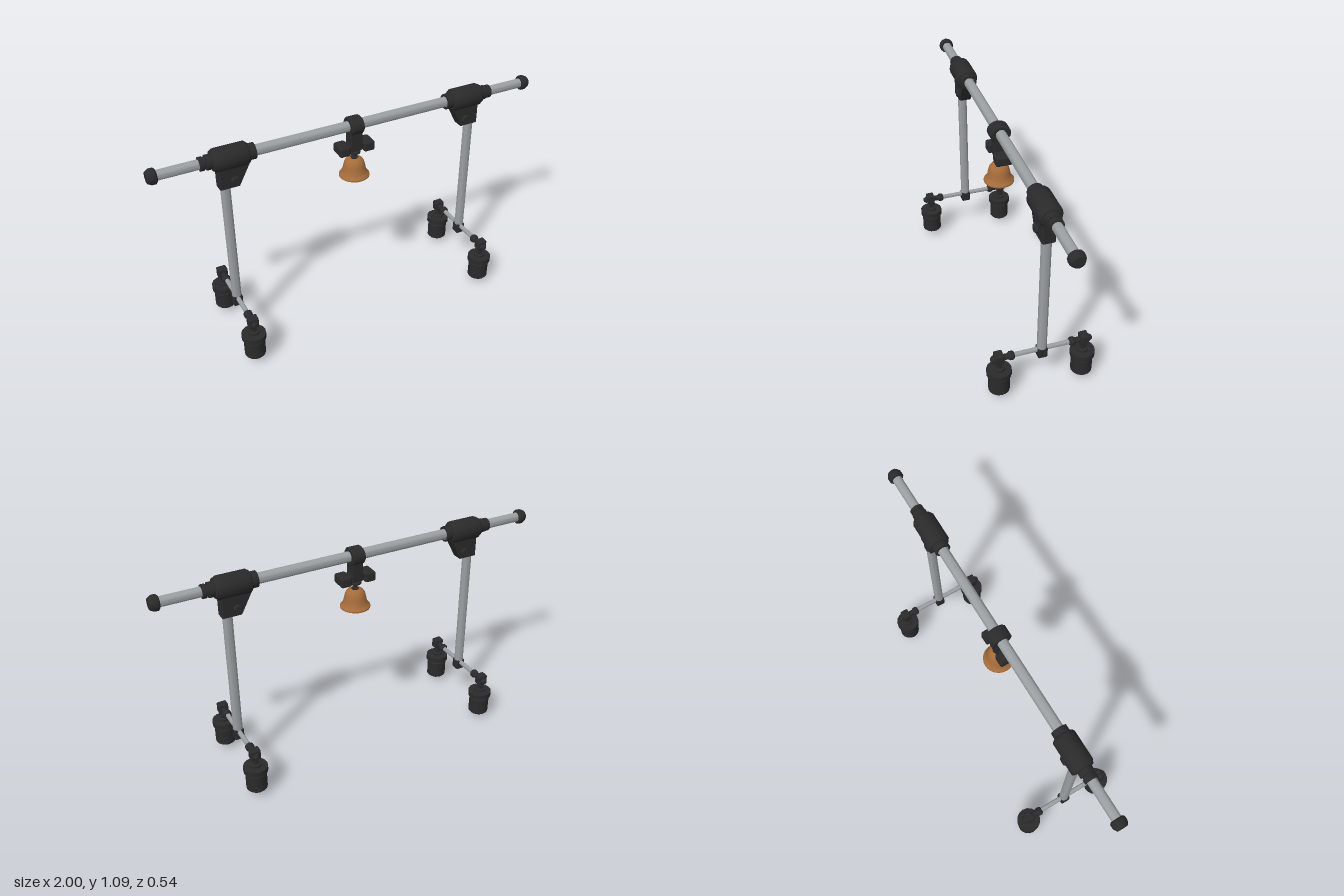
import * as THREE from 'three';
import { toCreasedNormals } from 'three/addons/utils/BufferGeometryUtils.js';
import { RoundedBoxGeometry } from 'three/addons/geometries/RoundedBoxGeometry.js';

const BEAM_Y = 1.035, LEG_X = 0.657, FOOT_Z = 0.209, BAR_Y = 0.237;

export function createModel() {
  const rubber = new THREE.MeshStandardMaterial({ name: 'black rubber', color: 0x2a2a2a });
  const metal = new THREE.MeshStandardMaterial({ name: 'grey metal', color: 0x9a9fa1 });
  const bronze = new THREE.MeshStandardMaterial({ name: 'bronze', color: 0xa56c3a, side: THREE.DoubleSide });

  const add = (parent, name, geometry, material, x = 0, y = 0, z = 0) => {
    const mesh = new THREE.Mesh(geometry, material);
    mesh.name = name;
    mesh.position.set(x, y, z);
    parent.add(mesh);
    return mesh;
  };
  const group = (parent, name) => {
    const g = new THREE.Group();
    g.name = name;
    parent.add(g);
    return g;
  };
  // Turned part: [radius, distance along axis] pairs in increasing distance
  const turned = (profile, axis = 'y', sides = 16) => {
    const g = new THREE.LatheGeometry(profile.map(([r, d]) => new THREE.Vector2(r, d)), sides);
    if (axis === 'x') g.rotateZ(-Math.PI / 2);
    if (axis === 'z') g.rotateX(Math.PI / 2);
    return toCreasedNormals(g, 0.6);
  };
  const rod = (r, from, to, axis, sides) => turned([[0, from], [r, from], [r, to], [0, to]], axis, sides);
  const block = (w, h, d, r = 0.006) => new RoundedBoxGeometry(w, h, d, 2, r);

  // One foot with its half of the crossbar, pointing to +z
  const buildFoot = (parent, name) => {
    const foot = group(parent, name);
    add(foot, 'crossbar', rod(0.012, 0, 0.145, 'z', 12), metal, 0, BAR_Y, 0);
    add(foot, 'crossbarCollar', turned([[0, 0.136], [0.016, 0.136], [0.022, 0.143], [0.022, 0.158],
      [0.015, 0.167], [0.015, 0.195], [0, 0.195]], 'z', 12), rubber, 0, BAR_Y, 0);
    add(foot, 'knuckle', block(0.05, 0.052, 0.042), rubber, 0, 0.24, FOOT_Z + 0.002);
    add(foot, 'knuckleNut', turned([[0, 0.225], [0.018, 0.225], [0.018, 0.238], [0.01, 0.25], [0, 0.25]], 'z', 8),
      rubber, 0, BAR_Y, 0);
    add(foot, 'footStem', rod(0.015, 0.165, 0.225, 'y', 12), rubber, 0, 0, FOOT_Z);
    add(foot, 'damper', turned([
      [0, 0], [0.008, 0.006], [0.017, 0.022], [0.017, 0.033], [0.046, 0.033], [0.052, 0.04],
      [0.052, 0.125], [0.046, 0.132], [0.046, 0.137], [0.06, 0.137], [0.06, 0.166],
      [0.028, 0.168], [0.028, 0.178], [0.015, 0.182], [0, 0.182],
    ]), rubber, 0, 0, FOOT_Z);
    return foot;
  };

  // One end of the stand, built on the +x side
  const buildEnd = (parent, name) => {
    const end = group(parent, name);
    add(end, 'beamExtension', rod(0.024, 0.6, 0.97, 'x'), metal, 0, BEAM_Y, 0);
    add(end, 'endCap', turned([[0, 0.955], [0.03, 0.955], [0.037, 0.962], [0.037, 0.982],
      [0.027, 1], [0, 1]], 'x', 12), rubber, 0, BEAM_Y, 0);

    // Corner clamp: sleeve, gusset and bolt
    add(end, 'clampSleeve', turned([
      [0.027, 0.505], [0.039, 0.505], [0.039, 0.535], [0.048, 0.538], [0.056, 0.55], [0.056, 0.69],
      [0.046, 0.708], [0.036, 0.71], [0.036, 0.735], [0.027, 0.737], [0.027, 0.745],
      [0.033, 0.746], [0.033, 0.765], [0.022, 0.767],
    ], 'x'), rubber, 0, BEAM_Y, 0);
    const gusset = new THREE.Shape([
      [0.54, BEAM_Y], [0.54, 0.992], [0.595, 0.888], [0.688, 0.888], [0.688, BEAM_Y],
    ].map(([x, y]) => new THREE.Vector2(x, y)));
    const gussetGeometry = new THREE.ExtrudeGeometry(gusset, {
      depth: 0.052, bevelEnabled: true, bevelThickness: 0.006, bevelSize: 0.004, bevelOffset: -0.004, bevelSegments: 1,
    });
    add(end, 'clampGusset', gussetGeometry, rubber, 0, 0, -0.026);
    add(end, 'clampBolt', turned([[0, -0.043], [0.018, -0.043], [0.023, -0.036], [0.023, 0.036],
      [0.018, 0.043], [0, 0.043]], 'z', 12), rubber, 0.615, 0.925, 0);

    // Leg with socket and a pair of feet
    add(end, 'leg', rod(0.0235, 0.22, 0.95), metal, LEG_X, 0, 0);
    add(end, 'legSocket', block(0.048, 0.055, 0.047), rubber, LEG_X, 0.2225, 0);
    const feet = group(end, 'feet');
    feet.position.x = LEG_X;
    buildFoot(feet, 'frontFoot');
    buildFoot(feet, 'backFoot').rotation.y = Math.PI;
    return end;
  };

  const model = new THREE.Group();
  model.name = 'bellStand';
  add(model, 'beam', rod(0.026, -0.6, 0.6, 'x'), metal, 0, BEAM_Y, 0);
  buildEnd(model, 'leftEnd');
  buildEnd(model, 'rightEnd').rotation.y = Math.PI;

  // Hanger strap around the middle of the beam
  const hanger = group(model, 'hanger');
  add(hanger, 'strap', turned([[0, -0.033], [0.046, -0.033], [0.052, -0.027], [0.052, 0.027],
    [0.046, 0.033], [0, 0.033]], 'x'), rubber, 0, BEAM_Y, 0).scale.y = 0.85;
  add(hanger, 'hangerNeck', block(0.06, 0.11, 0.06), rubber, 0, 0.96, 0);
  add(hanger, 'hangerCrosspiece', block(0.186, 0.035, 0.05), rubber, 0, 0.925, 0);
  for (const s of [-1, 1]) add(hanger, 'hangerGrip', block(0.057, 0.05, 0.084, 0.01), rubber, s * 0.0645, 0.92, 0);
  add(hanger, 'bellStem', turned([[0, 0.845], [0.018, 0.845], [0.018, 0.862], [0.009, 0.866],
    [0.009, 0.884], [0.03, 0.886], [0.03, 0.896], [0.01, 0.9], [0.01, 0.93]], 'y', 12), rubber);

  // Bell and clapper
  const bell = group(model, 'bell');
  add(bell, 'bellShell', turned([
    [0.069, 0.762], [0.075, 0.76], [0.075, 0.767], [0.065, 0.778], [0.058, 0.793],
    [0.054, 0.815], [0.049, 0.835], [0.04, 0.849], [0.025, 0.857], [0, 0.859],
  ], 'y', 24), bronze);
  add(bell, 'bellInside', turned([[0.069, 0.762], [0.052, 0.79], [0.044, 0.83], [0, 0.85]], 'y', 24), bronze);
  add(bell, 'clapper', turned([[0, 0.744], [0.01, 0.747], [0.015, 0.757], [0.01, 0.77],
    [0.005, 0.776], [0.005, 0.85]], 'y', 10), rubber);
  return model;
}
